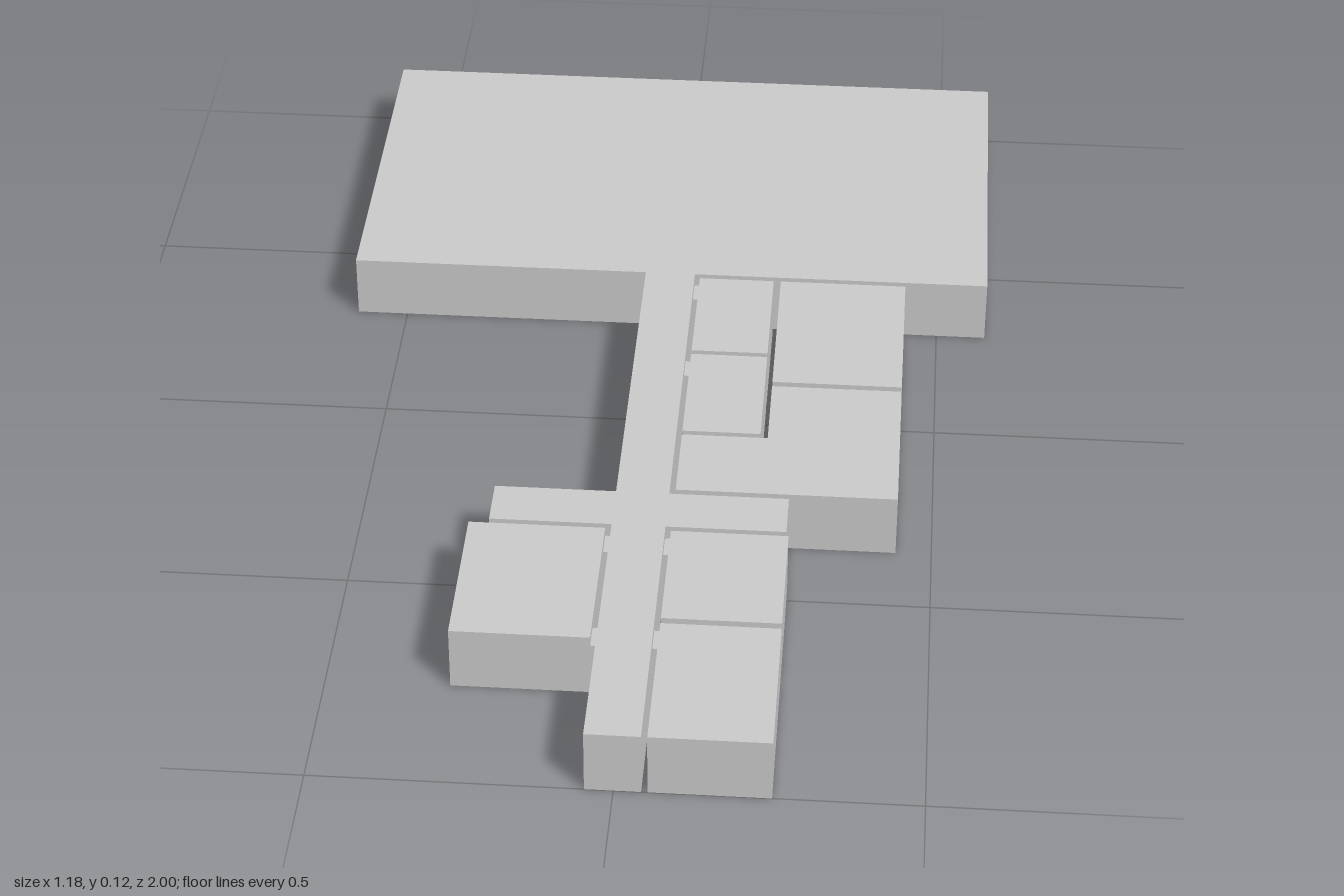
import * as THREE from 'three';

const HEIGHT = 0.117;
const DOOR_HEIGHT = 0.1;

export function createModel() {
  const model = new THREE.Group();
  model.name = 'floorPlan';
  const material = new THREE.MeshStandardMaterial({ color: 0xcccccc, flatShading: true });

  // Raise a plan outline of [x, z] corners into a solid block
  function addBlock(name, outline, height = HEIGHT) {
    const shape = new THREE.Shape(outline.map(([x, z]) => new THREE.Vector2(x, -z)));
    const geometry = new THREE.ExtrudeGeometry(shape, { depth: height, bevelEnabled: false });
    geometry.rotateX(-Math.PI / 2);
    const mesh = new THREE.Mesh(geometry, material);
    mesh.name = name;
    model.add(mesh);
  }
  const rect = (x0, x1, z0, z1) => [[x0, z0], [x0, z1], [x1, z1], [x1, z0]];

  // Great hall, long corridor and cross passage form one continuous block
  addBlock('hallAndCorridor', [
    [-0.593, -1], [-0.593, -0.306], [-0.047, -0.306],
    [-0.047, 0.367], [-0.257, 0.367], [-0.257, 0.459], [-0.047, 0.459],
    [-0.047, 1], [0.045, 1],
    [0.045, 0.459], [0.251, 0.459], [0.251, 0.367], [0.045, 0.367],
    [0.045, -0.306], [0.59, -0.306], [0.59, -1],
  ]);

  // Rectangular rooms: x0, x1, z0, z1
  const rooms = {
    rearInnerRoom: [0.055, 0.193, -0.294, -0.061],
    middleInnerRoom: [0.055, 0.193, -0.05, 0.184],
    rearOuterRoom: [0.206, 0.438, -0.294, 0.026],
    frontLeftRoom: [0.055, 0.255, 0.47, 0.703],
    endLeftRoom: [0.055, 0.255, 0.716, 1],
    frontRightRoom: [-0.291, -0.057, 0.47, 0.762],
  };
  for (const [name, bounds] of Object.entries(rooms)) addBlock(name, rect(...bounds));

  // L-shaped room wrapping the inner rooms
  addBlock('cornerRoom', [
    [0.206, 0.039], [0.206, 0.195], [0.055, 0.195],
    [0.055, 0.355], [0.438, 0.355], [0.438, 0.039],
  ]);

  // Lower doorways bridging the wall gaps
  const doors = [
    [0.045, 0.055, -0.294, -0.248],
    [0.045, 0.055, -0.05, -0.005],
    [0.355, 0.4, 0.026, 0.039],
    [0.206, 0.251, 0.355, 0.367],
    [0.045, 0.055, 0.47, 0.515],
    [0.045, 0.055, 0.716, 0.762],
    [-0.057, -0.047, 0.47, 0.515],
    [-0.057, -0.047, 0.716, 0.762],
  ];
  doors.forEach((bounds, i) => addBlock(`doorway${i + 1}`, rect(...bounds), DOOR_HEIGHT));

  return model;
}
